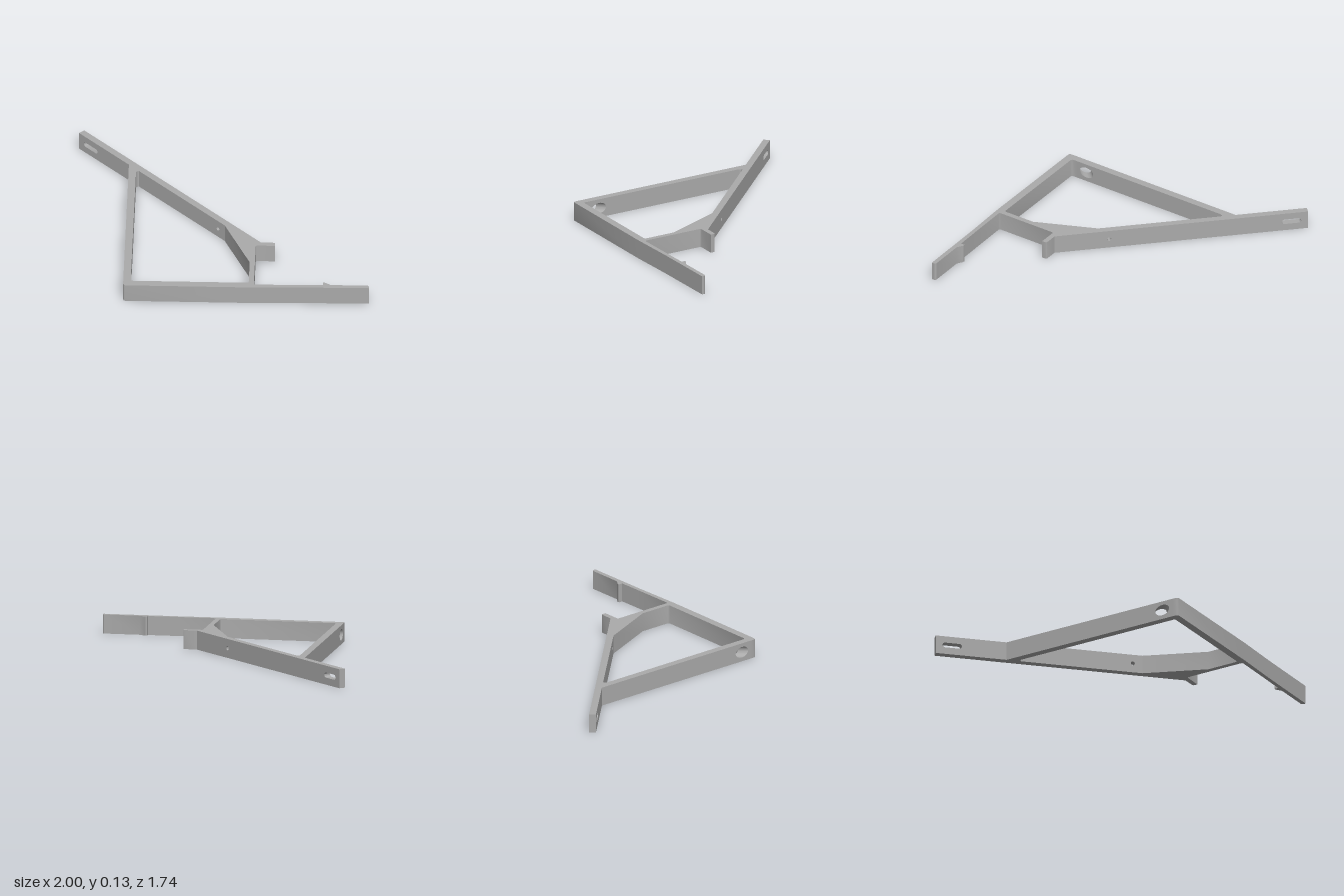
import * as THREE from 'three';
import { toCreasedNormals } from 'three/addons/utils/BufferGeometryUtils.js';

const HEIGHT = 0.13;
const MID = 0.066;

export function createModel() {
  const group = new THREE.Group();
  const grey = new THREE.MeshStandardMaterial({ color: 0xaaaaaa });
  grey.name = 'grey plastic';

  const add = (name, geometry) => {
    const mesh = new THREE.Mesh(toCreasedNormals(geometry, 0.6), grey);
    mesh.name = name;
    group.add(mesh);
  };

  // Plan outline given as [x, z], raised to the full height
  const addPlan = (name, points) => {
    const shape = new THREE.Shape(points.map(([x, z]) => new THREE.Vector2(x, -z)));
    const geometry = new THREE.ExtrudeGeometry(shape, { depth: HEIGHT, bevelEnabled: false });
    add(name, geometry.rotateX(-Math.PI / 2));
  };

  // Upright wall with holes, placed by its length and depth directions
  const addWall = (name, length, depth, holes, along, through, origin) => {
    const shape = new THREE.Shape([[0, 0], [length, 0], [length, HEIGHT], [0, HEIGHT]]
      .map(([u, v]) => new THREE.Vector2(u, v)));
    shape.holes.push(...holes);
    const geometry = new THREE.ExtrudeGeometry(shape, { depth, bevelEnabled: false, curveSegments: 24 });
    const matrix = new THREE.Matrix4()
      .makeBasis(along, new THREE.Vector3(0, 1, 0), through)
      .setPosition(origin);
    add(name, geometry.applyMatrix4(matrix));
  };

  const roundHole = (u, ru, rv) =>
    new THREE.Path().absellipse(u, MID, ru, rv, 0, Math.PI * 2, true);

  const slot = (u, length, height) => {
    const r = height / 2, half = length / 2 - r;
    const path = new THREE.Path();
    path.absarc(u + half, MID, r, -Math.PI / 2, Math.PI / 2, false);
    path.absarc(u - half, MID, r, Math.PI / 2, Math.PI * 1.5, false);
    path.closePath();
    return path;
  };

  // Sloping mounting arm with a screw slot and a screw hole
  const s = Math.SQRT1_2;
  addWall('mountingArm', 1.737, 0.046,
    [slot(0.114, 0.134, 0.035), roundHole(1.362, 0.014, 0.014)],
    new THREE.Vector3(s, 0, s), new THREE.Vector3(-s, 0, s),
    new THREE.Vector3(-0.968, 0, -0.868));

  // Side wall, with a slanting tool hole near the corner
  addPlan('sideWall', [
    [-0.655, -0.49], [-0.585, -0.42], [-0.596, -0.418], [-0.605, -0.405],
    [-0.605, 0.595], [-0.655, 0.645],
  ]);
  addWall('toolHoleWall', 0.18, 0.05, [roundHole(0.1, 0.055, 0.038)],
    new THREE.Vector3(0, 0, 1), new THREE.Vector3(-1, 0, 1),
    new THREE.Vector3(-0.605, 0, 0.595));

  // Gusset, upper hook, post and long front arm with its catch
  addPlan('frontArmAndHook', [
    [0.01, 0.175], [0.2275, 0.3925], [0.26, 0.36],
    [0.345, 0.36], [0.353, 0.364], [0.355, 0.372], [0.355, 0.395],
    [0.235, 0.395], [0.228, 0.398], [0.225, 0.405],
    [0.225, 0.822], [0.228, 0.831], [0.237, 0.834],
    [0.53, 0.83], [0.69, 0.827], [0.69, 0.8], [0.703, 0.799], [0.745, 0.825],
    [0.99, 0.823], [1, 0.832], [1, 0.853],
    [0.53, 0.858], [0.2, 0.868], [-0.64, 0.868], [-0.651, 0.863], [-0.655, 0.852],
    [-0.655, 0.825], [-0.605, 0.775], [-0.605, 0.802], [-0.601, 0.811], [-0.592, 0.815],
    [0.178, 0.815], [0.187, 0.811], [0.19, 0.803], [0.19, 0.585],
  ]);

  return group;
}
